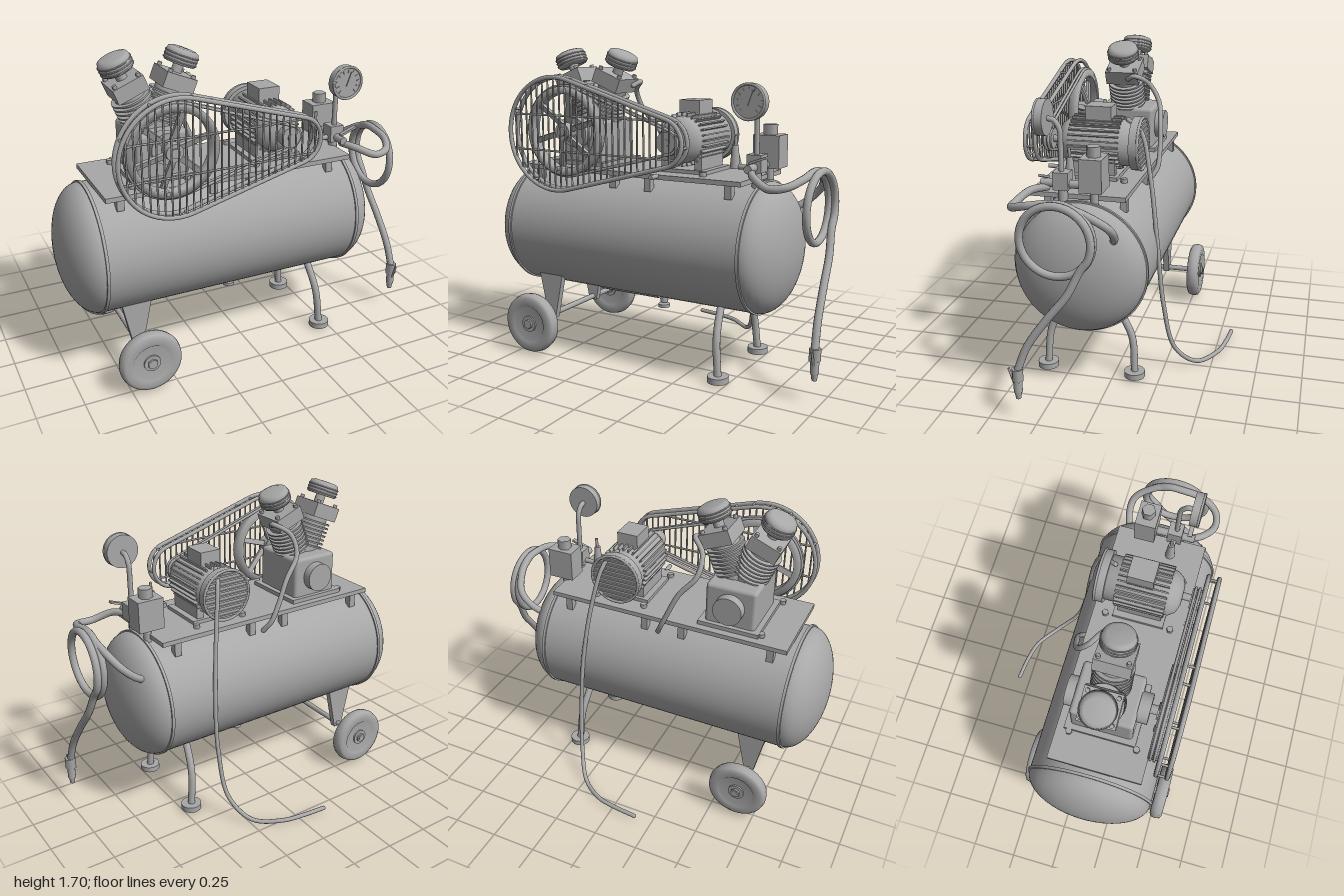
import * as THREE from 'three';
import { RoundedBoxGeometry } from 'three/addons/geometries/RoundedBoxGeometry.js';

const grey = new THREE.MeshStandardMaterial({ color: 0xa8a8a8 });
grey.name = 'machine grey';
const V = (x, y, z) => new THREE.Vector3(x, y, z);
const H = Math.PI / 2;

function add(parent, name, geo, x = 0, y = 0, z = 0, rx = 0, ry = 0, rz = 0) {
  const m = new THREE.Mesh(geo, grey);
  m.name = name;
  m.position.set(x, y, z);
  m.rotation.set(rx, ry, rz);
  parent.add(m);
  return m;
}
function group(parent, name, x = 0, y = 0, z = 0) {
  const g = new THREE.Group();
  g.name = name;
  g.position.set(x, y, z);
  parent.add(g);
  return g;
}
const box = (w, h, d) => new THREE.BoxGeometry(w, h, d);
const cyl = (r, h, n = 32, r2 = r) => new THREE.CylinderGeometry(r2, r, h, n);
const lathe = (pts, n = 48) => new THREE.LatheGeometry(pts.map(p => new THREE.Vector2(p[0], p[1])), n);
// Straight round bar between two points
function rod(parent, name, a, b, r, n = 12) {
  const m = add(parent, name, cyl(r, a.distanceTo(b), n));
  m.position.copy(a).lerp(b, 0.5);
  m.quaternion.setFromUnitVectors(V(0, 1, 0), b.clone().sub(a).normalize());
}
// Bent round bar or hose with rounded ends
function hose(parent, name, pts, r, seg = 80) {
  const p = pts.map(q => V(...q));
  add(parent, name, new THREE.TubeGeometry(new THREE.CatmullRomCurve3(p), seg, r, 12));
  for (const e of [p[0], p[p.length - 1]]) add(parent, name + 'End', new THREE.SphereGeometry(r, 12, 8), e.x, e.y, e.z);
}
// Teardrop outline wrapped around two circles
function outline(x1, y1, r1, x2, y2, r2, z) {
  const d = Math.hypot(x2 - x1, y2 - y1), base = Math.atan2(y2 - y1, x2 - x1), phi = Math.acos((r1 - r2) / d);
  const pts = [];
  const arc = (x, y, r, a, b, n) => {
    for (let i = 0; i <= n; i++) {
      const t = base + a + (b - a) * i / n;
      pts.push(V(x + r * Math.cos(t), y + r * Math.sin(t), z));
    }
  };
  const straight = () => {
    const a = pts[pts.length - 1], s = Math.sin(phi), c = Math.cos(phi), dir = a.y > y1 ? -1 : 1;
    const run = Math.sqrt(d * d - (r1 - r2) ** 2), ang = base + dir * (H - phi);
    for (let i = 1; i < 6; i++) pts.push(V(a.x + dir * run * i / 6 * Math.cos(ang), a.y + dir * run * i / 6 * Math.sin(ang), z));
  };
  arc(x1, y1, r1, phi, 2 * Math.PI - phi, 36);
  straight();
  arc(x2, y2, r2, -phi, phi, 16);
  straight();
  return pts;
}
function loop(parent, name, pts, r) {
  add(parent, name, new THREE.TubeGeometry(new THREE.CatmullRomCurve3(pts, true), 160, r, 8, true));
}
// Lowest and highest crossing of an outline at a given x or y
function span(pts, k, o, v) {
  const hits = [];
  pts.forEach((a, i) => {
    const b = pts[(i + 1) % pts.length];
    if ((a[k] - v) * (b[k] - v) < 0) hits.push(a[o] + (b[o] - a[o]) * (v - a[k]) / (b[k] - a[k]));
  });
  return [Math.min(...hits), Math.max(...hits)];
}

function buildTank(root) {
  const g = group(root, 'tank', 0, 0.69, 0.13);
  const prof = [];
  for (let i = 0; i <= 14; i++) prof.push([0.345 * Math.sin(H * i / 14), -0.83 - 0.17 * Math.cos(H * i / 14)]);
  for (let i = 0; i <= 14; i++) prof.push([0.345 * Math.cos(H * i / 14), 0.6 + 0.167 * Math.sin(H * i / 14)]);
  add(g, 'tankShell', lathe(prof, 72), 0, 0, 0, 0, 0, -H);
  for (const x of [-0.83, 0.597]) add(g, 'tankSeam', cyl(0.353, 0.016, 72), x, 0, 0, 0, 0, -H);
  add(g, 'bottomPad', new THREE.CylinderGeometry(0.353, 0.353, 0.38, 24, 1, true, H - 0.6, 1.2), -0.14, 0, 0, 0, 0, -H);
  add(g, 'drainPipe', cyl(0.022, 0.06), -0.02, -0.36, 0);
  add(g, 'drainCap', cyl(0.032, 0.018), -0.02, -0.41, 0);
  // Mounting plate, posts and bolts
  add(root, 'mountingPlate', box(1.375, 0.025, 0.5), -0.113, 1.055, 0.15);
  for (const x of [-0.71, -0.21, 0.01, 0.48]) for (const z of [-0.07, 0.33]) add(root, 'platePost', box(0.038, 0.09, 0.038), x, 1.01, z);
  for (const x of [-0.64, -0.35, 0.04, 0.33]) for (const z of [-0.03, 0.33]) add(root, 'plateBolt', cyl(0.018, 0.03, 6), x, 1.075, z);
}

function buildRunningGear(root) {
  const tyre = [[0, -0.025], [0.095, -0.025], [0.105, -0.036], [0.145, -0.036], [0.162, -0.026], [0.168, 0],
    [0.162, 0.026], [0.145, 0.036], [0.105, 0.036], [0.095, 0.025], [0, 0.025]];
  rod(root, 'axle', V(-0.65, 0.185, -0.31), V(-0.65, 0.185, 0.565), 0.016);
  for (const s of [-1, 1]) {
    const w = group(root, 'wheel', -0.65, 0.185, 0.13 + s * 0.393);
    add(w, 'tyre', lathe(tyre), 0, 0, 0, H);
    add(w, 'hub', cyl(0.045, 0.068), 0, 0, 0, H);
    add(w, 'axleNut', cyl(0.028, 0.09, 6), 0, 0, 0, H);
    // Tapered bracket holding the axle
    const sh = new THREE.Shape([[-0.08, 0.24], [-0.025, -0.02], [0.025, -0.02], [0.08, 0.24]].map(p => new THREE.Vector2(...p)));
    add(root, 'wheelBracket', new THREE.ExtrudeGeometry(sh, { depth: 0.035, bevelEnabled: false }), -0.65, 0.185, 0.1125 + s * 0.2);
    // Bent front leg and foot
    hose(root, 'frontLeg', [[0.41, 0.41, 0.13 + s * 0.13], [0.43, 0.24, 0.13 + s * 0.225], [0.448, 0.04, 0.13 + s * 0.245]], 0.02, 20);
    add(root, 'foot', cyl(0.056, 0.032), 0.45, 0.028, 0.13 + s * 0.245);
  }
}

function buildPump(root) {
  const g = group(root, 'pump', -0.46, 0, 0.13);
  add(g, 'crankcase', new RoundedBoxGeometry(0.28, 0.25, 0.33, 3, 0.02), 0, 1.19, 0);
  add(g, 'crankcaseFoot', box(0.34, 0.025, 0.38), 0, 1.078, 0);
  add(g, 'rearCover', cyl(0.08, 0.06), 0, 1.2, -0.185, H);
  add(g, 'frontBearing', cyl(0.08, 0.06), 0, 1.25, 0.19, H);
  for (const s of [-1, 1]) {
    const c = group(g, 'cylinderUnit', 0, 1.22, 0);
    c.rotation.z = -s * 0.39;
    add(c, 'barrel', cyl(0.08, 0.25), 0, 0.17, 0);
    for (let i = 0; i < 7; i++) add(c, 'coolingFin', cyl(0.104, 0.009), 0, 0.13 + i * 0.023, 0);
    add(c, 'cylinderHead', box(0.17, 0.08, 0.19), 0, 0.335, 0);
    for (const x of [-0.065, 0.065]) for (const z of [-0.075, 0.075]) add(c, 'headBolt', cyl(0.012, 0.02, 6), x, 0.382, z);
    add(c, 'filterStem', cyl(0.028, 0.07), 0, 0.4, 0);
    add(c, 'airFilter', lathe([[0, 0.42], [0.08, 0.42], [0.086, 0.428], [0.086, 0.47], [0.08, 0.49], [0.06, 0.498], [0, 0.5]]), 0, 0, 0);
    for (let i = 0; i < 3; i++) add(c, 'filterRib', new THREE.TorusGeometry(0.086, 0.004, 6, 40), 0, 0.432 + i * 0.018, 0, H);
  }
  hose(root, 'dischargePipe', [[-0.24, 1.5, 0.09], [-0.22, 1.52, 0.05], [-0.29, 1.47, -0.02], [-0.29, 1.37, -0.08], [-0.2, 1.25, -0.11],
    [-0.14, 1.12, -0.12], [-0.1, 1.03, -0.115], [-0.07, 0.97, -0.08]], 0.014);
  // Flywheel and drive belts
  const f = group(root, 'flywheel', -0.46, 1.265, 0.42);
  add(f, 'flywheelRim', lathe([[0.2, -0.025], [0.24, -0.025], [0.24, 0.025], [0.2, 0.025], [0.2, -0.025]], 64), 0, 0, 0, H);
  add(f, 'flywheelHub', cyl(0.045, 0.07), 0, 0, 0, H);
  rod(f, 'crankshaft', V(0, 0, -0.13), V(0, 0, 0.045), 0.025);
  for (let i = 0; i < 6; i++) {
    const a = i * Math.PI / 3 + 0.3;
    add(f, 'spoke', box(0.18, 0.03, 0.018), 0.12 * Math.cos(a), 0.12 * Math.sin(a), 0, 0.3, 0, a);
  }
  for (const z of [0.41, 0.43]) loop(root, 'driveBelt', outline(-0.46, 1.265, 0.243, 0.18, 1.24, 0.06, z), 0.008);
}

function buildGuard(root) {
  const g = group(root, 'beltGuard');
  const ring = z => outline(-0.465, 1.255, 0.3, 0.19, 1.245, 0.122, z);
  const front = ring(0.513);
  loop(g, 'frontHoop', front, 0.012);
  loop(g, 'rearHoop', ring(0.457), 0.012);
  for (let i = 0; i < 28; i++) {
    const x = -0.725 + i * 0.0372, [a, b] = span(front, 'x', 'y', x);
    rod(g, 'guardBar', V(x, a, 0.513), V(x, b, 0.513), 0.005, 6);
  }
  for (const y of [1.165, 1.355]) {
    const [a, b] = span(front, 'y', 'x', y);
    rod(g, 'guardRail', V(a, y, 0.507), V(b, y, 0.507), 0.006, 6);
  }
  for (let i = 0; i < front.length; i += 7) rod(g, 'guardTie', front[i], V(front[i].x, front[i].y, 0.457), 0.007, 6);
  for (const x of [-0.5, 0.1]) rod(g, 'guardMount', V(x, 1.06, 0.39), V(x, 1.06, 0.46), 0.012);
}

function buildMotor(root) {
  const g = group(root, 'motor', 0.18, 1.24, 0);
  add(g, 'motorBody', lathe([[0, -0.06], [0.122, -0.06], [0.122, 0.27], [0.12, 0.3], [0.095, 0.335], [0.05, 0.352], [0, 0.352]]), 0, 0, 0, H);
  for (let i = 0; i < 28; i++) {
    const a = i * Math.PI / 14;
    add(g, 'motorFin', box(0.025, 0.008, 0.27), 0.128 * Math.cos(a), 0.128 * Math.sin(a), 0.145, 0, 0, a);
  }
  add(g, 'fanCover', cyl(0.142, 0.045, 40), 0, 0, -0.07, H);
  add(g, 'fanCoverRim', new THREE.TorusGeometry(0.138, 0.008, 8, 48), 0, 0, -0.094);
  for (let i = -4; i <= 4; i++) add(g, 'fanSlat', box(2 * Math.sqrt(0.018 - (i * 0.028) ** 2), 0.01, 0.012), 0, i * 0.028, -0.096);
  add(g, 'terminalBox', box(0.12, 0.09, 0.14), 0, 0.155, 0.13);
  rod(g, 'motorShaft', V(0, 0, 0.34), V(0, 0, 0.45), 0.02);
  add(g, 'motorPulley', cyl(0.055, 0.05), 0, 0, 0.42, H);
  add(g, 'motorBase', box(0.29, 0.02, 0.28), 0, -0.163, 0.15);
  for (const x of [-0.09, 0.09]) add(g, 'motorFoot', box(0.04, 0.1, 0.24), x, -0.12, 0.15);
  hose(root, 'powerCable', [[0.2, 1.37, -0.02], [0.24, 1.32, -0.1], [0.29, 1.1, -0.16], [0.335, 0.75, -0.21], [0.345, 0.4, -0.25],
    [0.32, 0.14, -0.31], [0.24, 0.025, -0.42], [0.1, 0.022, -0.52], [-0.02, 0.026, -0.55], [-0.15, 0.028, -0.565]], 0.012);
}

function buildControls(root) {
  const g = group(root, 'controls');
  // Pressure switch
  add(g, 'pressureSwitch', box(0.145, 0.17, 0.115), 0.578, 1.185, 0.058);
  add(g, 'switchKnob', cyl(0.038, 0.055, 6), 0.578, 1.295, 0.058);
  rod(g, 'switchPipe', V(0.578, 1.0, 0.058), V(0.578, 1.11, 0.058), 0.022);
  // Manifold, tap and safety valve
  rod(g, 'manifold', V(0.578, 1.12, 0.05), V(0.578, 1.12, 0.33), 0.022);
  rod(g, 'manifoldRiser', V(0.578, 1.0, 0.22), V(0.578, 1.12, 0.22), 0.025);
  add(g, 'regulator', box(0.08, 0.09, 0.08), 0.578, 1.14, 0.22);
  rod(g, 'valvePipe', V(0.45, 1.115, 0.22), V(0.578, 1.115, 0.22), 0.014);
  add(g, 'safetyValve', cyl(0.028, 0.12, 20, 0.016), 0.457, 1.165, 0.22);
  rod(g, 'safetyPin', V(0.457, 1.2, 0.22), V(0.462, 1.275, 0.22), 0.008);
  add(g, 'tapLever', box(0.1, 0.012, 0.025), 0.62, 1.165, 0.3, 0, 0, 0.35);
  // Gauge with ticks and needle
  hose(g, 'gaugePost', [[0.578, 1.15, 0.225], [0.578, 1.3, 0.225], [0.578, 1.4, 0.23], [0.578, 1.44, 0.26], [0.578, 1.445, 0.29]], 0.014, 30);
  const d = group(g, 'gauge', 0.578, 1.45, 0.31);
  add(d, 'gaugeCase', cyl(0.09, 0.045, 40), 0, 0, 0, H);
  add(d, 'gaugeBezel', new THREE.TorusGeometry(0.086, 0.007, 8, 40), 0, 0, 0.023);
  for (let i = 0; i < 11; i++) {
    const a = -0.8 + i * 0.47;
    add(d, 'gaugeTick', box(0.016, 0.005, 0.006), 0.063 * Math.cos(a), 0.063 * Math.sin(a), 0.024, 0, 0, a);
  }
  add(d, 'gaugeNeedle', box(0.008, 0.08, 0.006), 0.008, 0.02, 0.025, 0, 0, -0.35);
  // Coiled air hose with its nozzle
  const p = [[0.585, 1.1, 0.3], [0.63, 1.09, 0.37], [0.73, 1.05, 0.42], [0.81, 1.06, 0.4], [0.86, 1.09, 0.31]];
  for (let i = 0; i <= 22; i++) {
    const a = (80 + i * 23) * Math.PI / 180;
    p.push([0.865 + i * 0.0022, 0.935 + 0.178 * Math.sin(a), 0.16 + 0.178 * Math.cos(a)]);
  }
  p.push([0.928, 0.68, 0.1], [0.94, 0.55, 0.2], [0.952, 0.4, 0.3], [0.96, 0.27, 0.35]);
  hose(g, 'airHose', p, 0.02, 220);
  hose(g, 'outletHose', [[0.67, 0.87, -0.06], [0.74, 0.92, -0.085], [0.81, 0.99, -0.075], [0.86, 1.07, 0.03], [0.87, 1.11, 0.14]], 0.02, 40);
  const n = group(g, 'nozzle', 0.962, 0, 0.35);
  add(n, 'hoseCoupling', cyl(0.03, 0.065, 6), 0, 0.25, 0);
  add(n, 'nozzleBody', cyl(0.022, 0.07), 0, 0.19, 0);
  add(n, 'nozzleTip', cyl(0.013, 0.06, 16, 0.022), 0, 0.148, 0);
  rod(n, 'nozzleLever', V(0, 0.2, 0.02), V(0, 0.28, 0.045), 0.006);
}

export function createModel() {
  const root = new THREE.Group();
  root.name = 'airCompressor';
  for (const build of [buildTank, buildRunningGear, buildPump, buildGuard, buildMotor, buildControls]) build(root);
  return root;
}
